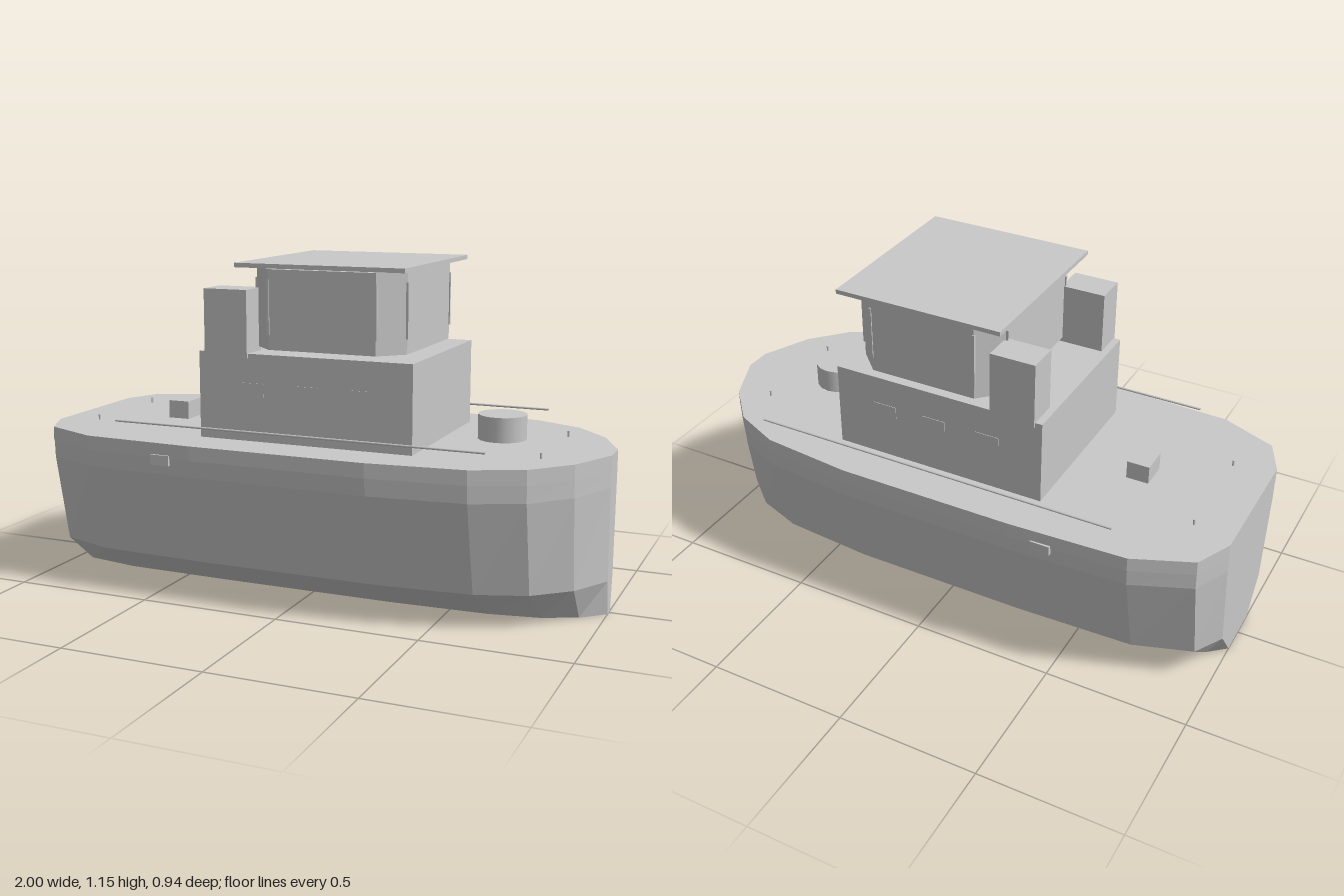
import * as THREE from 'three';

const grey = new THREE.MeshStandardMaterial({ color: 0xc8c8c8 });
grey.name = 'plain grey';

// Faceted hull: one deck outline, narrowed in z at each level down to the keel
function hullGeometry() {
  const side = [[-1, 0.235], [-0.94, 0.365], [-0.74, 0.45], [-0.33, 0.468], [0.3, 0.468],
    [0.63, 0.433], [0.8, 0.357], [0.92, 0.225], [1, 0.047]];
  const outline = [...side, ...side.map(([x, z]) => [x, -z]).reverse()];
  const levels = [[0, 0.4], [0.12, 0.8], [0.44, 0.985], [0.5, 0.992], [0.5, 1], [0.55, 1]];
  const n = outline.length;
  const pos = [];
  const index = [];
  levels.forEach(([y, s]) => outline.forEach(([x, z]) => pos.push(x, y, z * s)));
  for (let l = 0; l < levels.length - 1; l++) {
    for (let i = 0; i < n; i++) {
      const j = (i + 1) % n;
      const a = l * n + i, b = l * n + j;
      index.push(a, b, b + n, a, b + n, a + n);
    }
  }
  // Bottom and deck caps
  const bottom = pos.length / 3, deck = bottom + 1, top = (levels.length - 1) * n;
  pos.push(0, 0, 0, 0, 0.55, 0);
  for (let i = 0; i < n; i++) {
    const j = (i + 1) % n;
    index.push(bottom, j, i, deck, top + i, top + j);
  }
  const indexed = new THREE.BufferGeometry();
  indexed.setAttribute('position', new THREE.Float32BufferAttribute(pos, 3));
  indexed.setIndex(index);
  const geometry = indexed.toNonIndexed();
  geometry.computeVertexNormals();
  return geometry;
}

export function createModel() {
  const model = new THREE.Group();
  model.name = 'tugboat';

  function add(name, geometry, x = 0, y = 0, z = 0) {
    const mesh = new THREE.Mesh(geometry, grey);
    mesh.name = name;
    mesh.position.set(x, y, z);
    model.add(mesh);
    return mesh;
  }
  // Box given by its limits on each axis
  function box(name, [x0, x1], [y0, y1], [z0, z1]) {
    return add(name, new THREE.BoxGeometry(x1 - x0, y1 - y0, z1 - z0),
      (x0 + x1) / 2, (y0 + y1) / 2, (z0 + z1) / 2);
  }

  add('hull', hullGeometry());
  box('deckhouse', [-0.37, 0.405], [0.55, 0.85], [-0.31, 0.31]);

  // Wheelhouse with four chamfered corners
  const corners = [[0.35, -0.215], [0.35, 0.215], [0.27, 0.295], [-0.115, 0.295],
    [-0.195, 0.215], [-0.195, -0.215], [-0.115, -0.295], [0.27, -0.295]];
  const plan = new THREE.Shape(corners.map(([x, z]) => new THREE.Vector2(x, -z)));
  const wheelhouse = new THREE.ExtrudeGeometry(plan, { depth: 0.27, bevelEnabled: false });
  wheelhouse.rotateX(-Math.PI / 2);
  add('wheelhouse', wheelhouse, 0, 0.865, 0);
  corners.forEach(([x, z]) =>
    add('windowPost', new THREE.BoxGeometry(0.008, 0.185, 0.008), x, 1.008, z));
  box('roof', [-0.225, 0.38], [1.14, 1.155], [-0.325, 0.325]);

  // Deck fittings on the centre line
  add('capstan', new THREE.CylinderGeometry(0.083, 0.083, 0.085, 16), 0.617, 0.608, 0);
  box('towingBlock', [-0.645, -0.565], [0.55, 0.615], [-0.05, 0.05]);

  // Paired parts
  for (const s of [1, -1]) {
    const span = (a, b) => (s > 0 ? [a, b] : [-b, -a]);
    box('funnel', [-0.345, -0.185], [0.835, 1.065], span(0.205, 0.318));
    const rail = add('handrail', new THREE.CylinderGeometry(0.004, 0.004, 1.335, 8),
      0.008, 0.6, s * 0.395);
    rail.rotation.z = Math.PI / 2;
    for (const x of [-0.86, 0.8]) {
      add('bollard', new THREE.CylinderGeometry(0.004, 0.004, 0.02, 8), x, 0.56, s * 0.188);
    }
    for (const x of [-0.17, 0.03, 0.22]) {
      box('cabinWindow', [x - 0.043, x + 0.043], [0.705, 0.75], span(0.306, 0.312));
    }
    box('hullVent', [-0.48, -0.41], [0.475, 0.51], span(0.455, 0.47));
  }
  return model;
}
